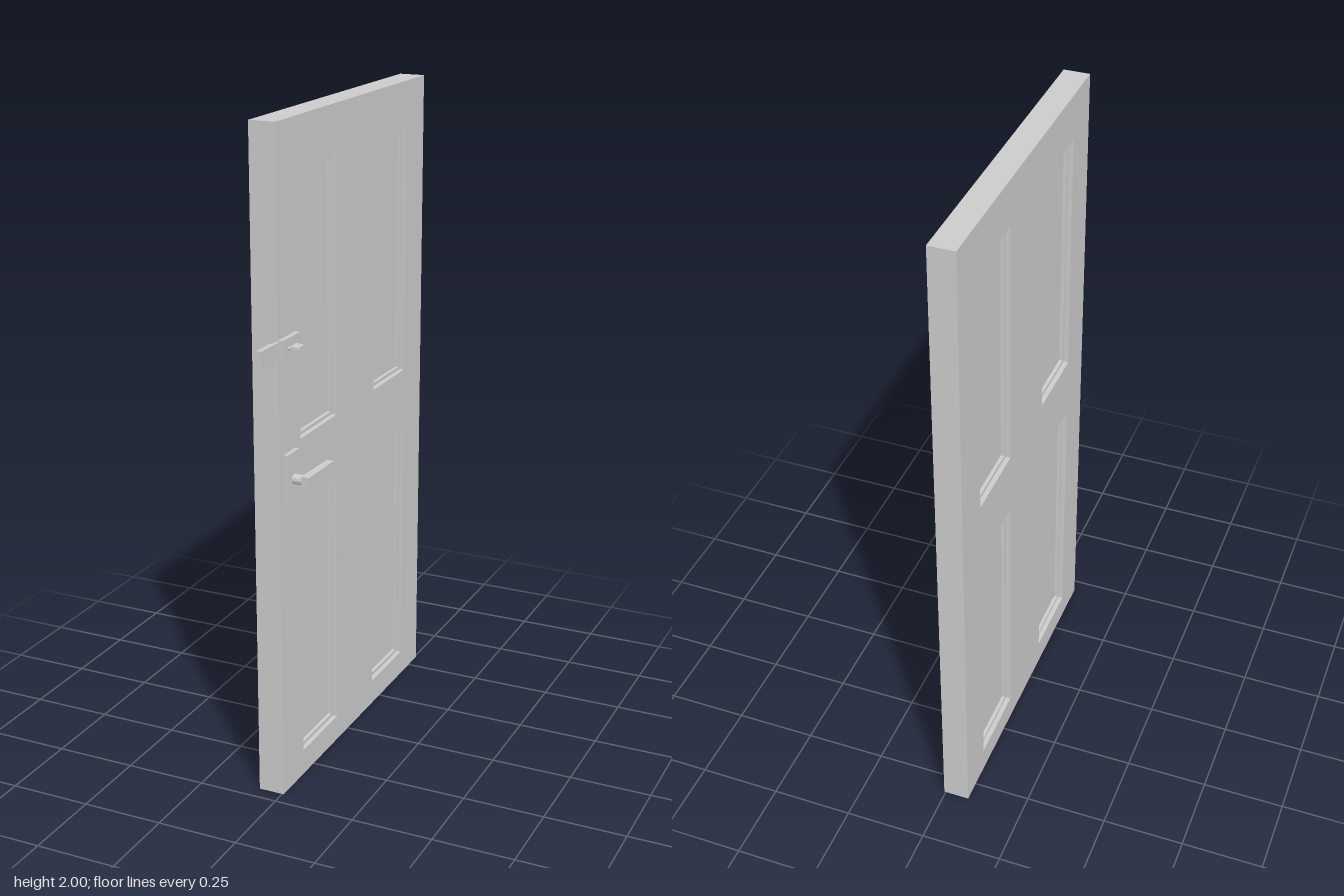
import * as THREE from 'three';

const material = new THREE.MeshStandardMaterial({ color: 0xcccccc, flatShading: true });

const mesh = (name, geometry) => {
  const m = new THREE.Mesh(geometry, material);
  m.name = name;
  return m;
};

// Box from its limits on each axis
function box(name, [x0, x1], [y0, y1], [z0, z1]) {
  const g = new THREE.BoxGeometry(x1 - x0, y1 - y0, z1 - z0);
  g.translate((x0 + x1) / 2, (y0 + y1) / 2, (z0 + z1) / 2);
  return mesh(name, g);
}

// Rectangle in the door plane; horizontal shape axis runs along -z
function rect(Type, [y0, y1], [z0, z1], inset = 0) {
  const p = new Type();
  p.moveTo(-z1 + inset, y0 + inset);
  p.lineTo(-z0 - inset, y0 + inset);
  p.lineTo(-z0 - inset, y1 - inset);
  p.lineTo(-z1 + inset, y1 - inset);
  p.closePath();
  return p;
}

// Extrude a door-plane shape between two x positions
function slab(name, shape, x0, x1) {
  const g = new THREE.ExtrudeGeometry(shape, { depth: x1 - x0, bevelEnabled: false });
  g.rotateY(Math.PI / 2).translate(x0, 0, 0);
  return mesh(name, g);
}

function createDoor() {
  const door = new THREE.Group();
  door.name = 'door';
  const X0 = -0.075, X1 = 0.005;
  const frame = rect(THREE.Shape, [0, 2], [-0.565, 0.455]);
  for (const y of [[0.08, 0.885], [1.08, 1.86]]) {
    for (const z of [[0.08, 0.32], [-0.43, -0.19]]) {
      frame.holes.push(rect(THREE.Path, y, z));
      // Stepped moulding, then the sunken panel, visible on both faces
      const moulding = rect(THREE.Shape, y, z);
      moulding.holes.push(rect(THREE.Path, y, z, 0.01));
      door.add(slab('panelMoulding', moulding, X0 + 0.015, X1 - 0.015));
      door.add(slab('panel', rect(THREE.Shape, y, z, 0.01), X0 + 0.026, X1 - 0.026));
    }
  }
  door.add(slab('doorFrame', frame, X0, X1));
  return door;
}

function createLeverHandle() {
  const handle = new THREE.Group();
  handle.name = 'leverHandle';
  handle.add(box('handlePlate', [0.004, 0.018], [0.91, 1.065], [0.357, 0.43]));
  // Spindle
  const neck = new THREE.CylinderGeometry(0.015, 0.015, 0.036, 12);
  neck.rotateZ(Math.PI / 2).translate(0.034, 0.984, 0.39);
  handle.add(mesh('handleNeck', neck));
  // Lever, slimmer towards the free end
  const lever = box('lever', [0.048, 0.073], [0.967, 1], [0.243, 0.407]);
  const pos = lever.geometry.attributes.position;
  for (let i = 0; i < pos.count; i++) {
    if (pos.getZ(i) < 0.3) {
      pos.setY(i, pos.getY(i) > 0.984 ? 0.998 : 0.974);
      if (pos.getX(i) < 0.06) pos.setX(i, 0.051);
    }
  }
  lever.geometry.computeVertexNormals();
  handle.add(lever);
  return handle;
}

function createLock() {
  const lock = new THREE.Group();
  lock.name = 'lock';
  lock.add(box('lockPlate', [0.004, 0.02], [1.347, 1.405], [0.349, 0.455]));
  lock.add(box('boltNeck', [-0.002, 0.009], [1.35, 1.401], [0.454, 0.487]));
  lock.add(box('bolt', [-0.005, 0.011], [1.345, 1.403], [0.485, 0.565]));
  // Thin thumb turn with rounded outer corners, drawn in the x-z plane
  const s = new THREE.Shape();
  s.moveTo(0.018, -0.415);
  s.lineTo(0.036, -0.415);
  s.quadraticCurveTo(0.048, -0.415, 0.048, -0.403);
  s.lineTo(0.048, -0.387);
  s.quadraticCurveTo(0.048, -0.375, 0.036, -0.375);
  s.lineTo(0.018, -0.375);
  s.closePath();
  const turn = new THREE.ExtrudeGeometry(s, { depth: 0.008, bevelEnabled: false, curveSegments: 4 });
  turn.rotateX(-Math.PI / 2);
  // Shape y becomes -z, so the turn sits at positive z
  turn.translate(0, 1.371, 0);
  lock.add(mesh('thumbTurn', turn));
  // Small studs at both ends of the turn
  for (const z of [0.377, 0.417]) {
    const stud = new THREE.CylinderGeometry(0.006, 0.006, 0.008, 8);
    stud.rotateZ(Math.PI / 2).translate(0.023, 1.375, z);
    lock.add(mesh('thumbTurnStud', stud));
  }
  return lock;
}

export function createModel() {
  const model = new THREE.Group();
  model.name = 'panelDoor';
  model.add(createDoor(), createLeverHandle(), createLock());
  return model;
}
